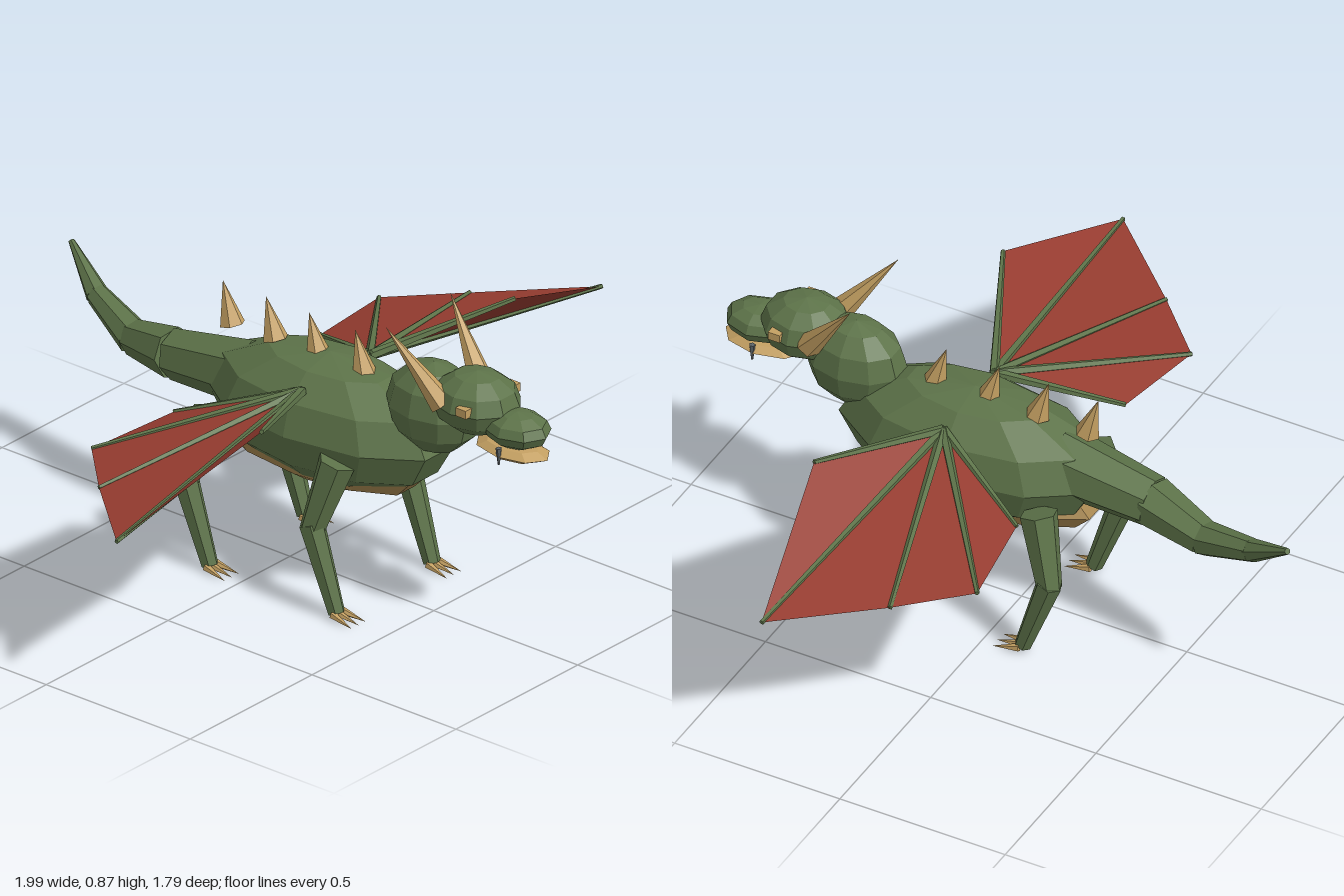
import * as THREE from 'three';

const flat = (name, color) => {
  const m = new THREE.MeshStandardMaterial({ color, flatShading: true });
  m.name = name;
  return m;
};
const V = (a) => new THREE.Vector3(...a);

export function createModel() {
  const green = flat('green hide', 0x5d7349);
  const tan = flat('tan belly', 0xa5854f);
  const horn = flat('horn', 0xc4a062);
  const red = flat('red membrane', 0x963c30);
  red.side = THREE.DoubleSide;
  const grey = flat('grey tooth', 0x5d6468);

  const model = new THREE.Group();
  model.name = 'dragon';

  const add = (name, geometry, material, parent = model) => {
    const m = new THREE.Mesh(geometry, material);
    m.name = name;
    parent.add(m);
    return m;
  };

  // Faceted ellipsoid
  const blob = (name, material, pos, radii, w = 10, h = 6) => {
    const m = add(name, new THREE.SphereGeometry(1, w, h), material);
    m.position.set(...pos);
    m.scale.set(...radii);
    return m;
  };

  // Tapered limb from a to b
  const limb = (name, material, a, b, ra, rb, sides = 6, parent = model) => {
    const from = V(a), dir = V(b).sub(from);
    const g = new THREE.CylinderGeometry(rb, ra, dir.length(), sides);
    const m = add(name, g, material, parent);
    m.position.copy(from).addScaledVector(dir, 0.5);
    m.quaternion.setFromUnitVectors(new THREE.Vector3(0, 1, 0), dir.normalize());
    return m;
  };

  // Trunk and head
  blob('body', green, [0, 0.478, 0.14], [0.195, 0.182, 0.4]);
  blob('belly', tan, [0, 0.375, 0.11], [0.132, 0.092, 0.355]);
  blob('neck', green, [0, 0.615, 0.5], [0.105, 0.13, 0.145]);
  blob('head', green, [0, 0.678, 0.65], [0.112, 0.088, 0.128]);
  blob('snout', green, [0, 0.64, 0.79], [0.08, 0.05, 0.1], 8, 6);
  blob('lowerJaw', horn, [0, 0.577, 0.775], [0.07, 0.022, 0.12], 8, 4);

  // Back spikes leaning toward the tail
  [[0.26, 0.63], [0.1, 0.635], [-0.05, 0.635], [-0.2, 0.63]].forEach(([z, y]) =>
    limb('backSpike', horn, [0, y, z], [0, 0.75, z - 0.033], 0.035, 0, 6));

  // Tail in curving segments
  const tail = [
    [0, 0.51, -0.12, 0.095], [0.005, 0.477, -0.4, 0.072], [0.047, 0.45, -0.58, 0.05],
    [0.095, 0.505, -0.75, 0.033], [0.155, 0.595, -0.89, 0.009],
  ];
  for (let i = 0; i < tail.length - 1; i++) {
    const a = tail[i], b = tail[i + 1];
    limb('tailSegment', green, a.slice(0, 3), b.slice(0, 3), a[3], b[3], 7);
  }

  for (const s of [1, -1]) {
    const side = s > 0 ? 'left' : 'right';

    // Face details
    limb(side + 'Horn', horn, [s * 0.08, 0.68, 0.6], [s * 0.133, 0.88, 0.445], 0.036, 0, 6);
    const eye = add(side + 'Eye', new THREE.BoxGeometry(0.025, 0.024, 0.036), horn);
    eye.position.set(s * 0.1, 0.693, 0.688);
    limb(side + 'Fang', grey, [s * 0.064, 0.602, 0.78], [s * 0.064, 0.553, 0.78], 0.009, 0.003, 5);

    // Legs with three claws each
    for (const [name, z] of [['FrontLeg', 0.3], ['HindLeg', -0.14]]) {
      const leg = new THREE.Group();
      leg.name = side + name;
      model.add(leg);
      limb('thigh', green, [s * 0.16, 0.445, z], [s * 0.2, 0.24, z - 0.055], 0.053, 0.035, 6, leg);
      limb('shin', green, [s * 0.2, 0.26, z - 0.055], [s * 0.196, 0.02, z + 0.028], 0.037, 0.024, 6, leg);
      for (const k of [-1, 0, 1]) {
        limb('claw', horn, [s * 0.196 + k * 0.018, 0.02, z + 0.03],
          [s * 0.196 + k * 0.029, 0.006, z + 0.105], 0.012, 0, 5, leg);
      }
    }

    // Wing: bones fanning from the shoulder with membrane between the tips
    const wing = new THREE.Group();
    wing.name = side + 'Wing';
    model.add(wing);
    const root = [s * 0.14, 0.6, 0.16];
    const tips = [
      [0.52, 0.682, 0.342], [0.995, 0.505, 0.24], [0.76, 0.492, -0.02],
      [0.59, 0.488, -0.19], [0.3, 0.5, -0.15],
    ].map(([x, y, z]) => [s * x, y, z]);
    const pts = [];
    for (let i = 0; i < tips.length - 1; i++) {
      if (s > 0) pts.push(...root, ...tips[i], ...tips[i + 1]);
      else pts.push(...root, ...tips[i + 1], ...tips[i]);
    }
    const sheet = new THREE.BufferGeometry();
    sheet.setAttribute('position', new THREE.Float32BufferAttribute(pts, 3));
    sheet.computeVertexNormals();
    add('membrane', sheet, red, wing);
    tips.forEach((t) => limb('wingBone', green, root, t, 0.014, 0.007, 5, wing));
  }

  return model;
}
